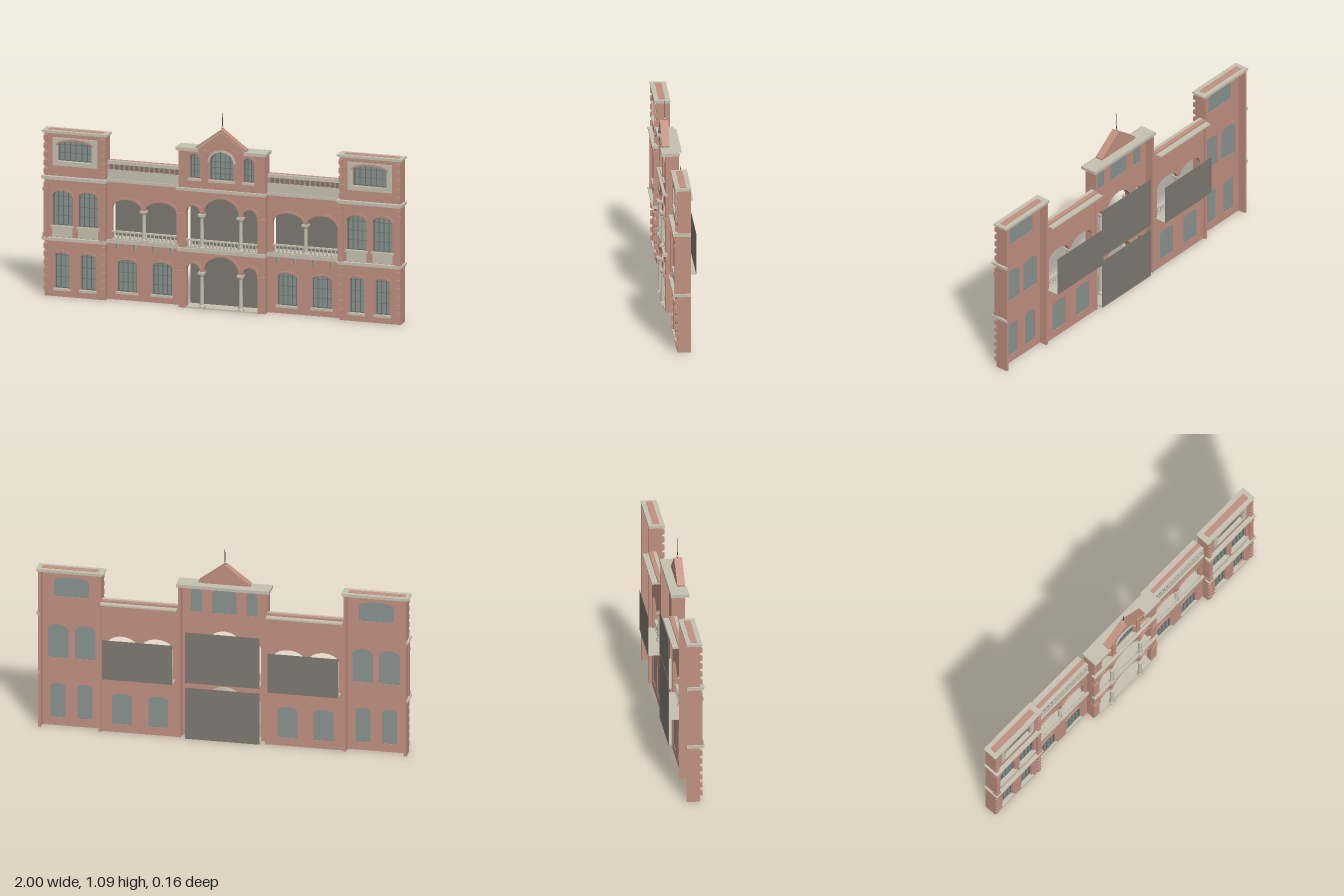
import * as THREE from 'three';

const mat = (name, color, side = THREE.FrontSide) => {
  const m = new THREE.MeshStandardMaterial({ color, side });
  m.name = name;
  return m;
};

export function createModel() {
  const root = new THREE.Group();
  root.name = 'facade';
  const brick = mat('brick', 0xc09080);
  const stone = mat('stone', 0xc6c1b0);
  const glass = mat('glass', 0x89938f);
  const bars = mat('window bars', 0x6a7573);
  const backing = mat('backing', 0x7d7870, THREE.DoubleSide);
  const metal = mat('metal', 0x4c4a47);

  const add = (name, geo, m) => {
    const mesh = new THREE.Mesh(geo, m);
    mesh.name = name;
    root.add(mesh);
    return mesh;
  };
  // Box given by its two extreme corners
  const box = (name, m, x0, x1, y0, y1, z0, z1) => {
    const mesh = add(name, new THREE.BoxGeometry(x1 - x0, y1 - y0, z1 - z0), m);
    mesh.position.set((x0 + x1) / 2, (y0 + y1) / 2, (z0 + z1) / 2);
  };
  const polygon = pts => new THREE.Shape(pts.map(p => new THREE.Vector2(...p)));
  const extrude = (name, m, shape, z0, z1) => {
    const geo = new THREE.ExtrudeGeometry(shape, { depth: z1 - z0, bevelEnabled: false, curveSegments: 14 });
    add(name, geo, m).position.z = z0;
  };
  // Opening with one or more arches, listed from right to left as [x0, x1, top]
  const opening = (p, x0, x1, y0, spring, arches) => {
    p.moveTo(x0, y0);
    p.lineTo(x1, y0);
    for (const [a, b, top] of arches) {
      p.lineTo(b, spring);
      p.absellipse((a + b) / 2, spring, (b - a) / 2, top - spring, 0, Math.PI, false, 0);
    }
    p.lineTo(x0, spring);
    p.lineTo(x0, y0);
    return p;
  };
  const wall = (name, x0, x1, h, z0, z1, holes) => {
    const s = polygon([[x0, 0], [x1, 0], [x1, h], [x0, h]]);
    s.holes = holes;
    extrude(name, brick, s, z0, z1);
  };
  // Raised band following an arch
  const archTrim = (m, x0, x1, spring, top, w, z0, z1) => {
    const c = (x0 + x1) / 2, r = (x1 - x0) / 2, h = top - spring;
    const s = new THREE.Shape();
    s.moveTo(c + r + w, spring);
    s.absellipse(c, spring, r + w, h + w, 0, Math.PI, false, 0);
    s.lineTo(c - r, spring);
    s.absellipse(c, spring, r, h, Math.PI, 0, true, 0);
    extrude('archTrim', m, s, z0, z1);
  };
  // Glazed arched window with frame, bars, hood and sill; returns the hole for the wall
  const windowUnit = (x0, x1, y0, spring, top, zBack, zFront, cols, rows, hood = brick) => {
    const arches = [[x0, x1, top]];
    const zg = zBack + 0.003, zb = zg + 0.003, c = (x0 + x1) / 2, r = (x1 - x0) / 2, f = 0.005;
    extrude('windowGlass', glass, opening(new THREE.Shape(), x0, x1, y0, spring, arches), zg, zb);
    const frame = opening(new THREE.Shape(), x0, x1, y0, spring, arches);
    frame.holes = [opening(new THREE.Path(), x0 + f, x1 - f, y0 + f, spring, [[x0 + f, x1 - f, top - f]])];
    extrude('windowFrame', bars, frame, zb, zb + 0.008);
    for (let i = 1; i < cols; i++) {
      const x = x0 + (x1 - x0) * i / cols;
      const h = (top - spring) * Math.sqrt(1 - ((x - c) / r) ** 2);
      box('windowBar', bars, x - 0.0015, x + 0.0015, y0, spring + h, zb, zb + 0.006);
    }
    for (let i = 1; i < rows; i++) {
      const y = y0 + (spring - y0) * i / (rows - 1);
      box('windowBar', bars, x0, x1, y - 0.0015, y + 0.0015, zb, zb + 0.005);
    }
    archTrim(hood, x0, x1, spring, top, 0.011, zFront, zFront + 0.007);
    box('windowSill', stone, x0 - 0.008, x1 + 0.008, y0 - 0.012, y0, zBack + 0.006, zFront + 0.01);
    return opening(new THREE.Path(), x0, x1, y0, spring, arches);
  };
  // Turned column with base and capital
  const column = (x, y0, y1, z, r) => {
    const h = y1 - y0;
    const pts = [[0, 0], [1.5, 0], [1.5, 0.05], [1.15, 0.08], [1, 0.1], [0.85, 0.88], [1.1, 0.9], [1.5, 0.95], [1.5, 1], [0, 1]];
    const geo = new THREE.LatheGeometry(pts.map(([a, b]) => new THREE.Vector2(a * r, b * h)), 14);
    add('column', geo, stone).position.set(x, y0, z);
    box('columnPlinth', stone, x - r * 1.5, x + r * 1.5, y0, y0 + 0.01, z - r * 1.5, z + r * 1.5);
    box('columnAbacus', stone, x - r * 1.6, x + r * 1.6, y1 - 0.008, y1 + 0.003, z - r * 1.6, z + r * 1.6);
  };
  const balusterGeo = new THREE.LatheGeometry([[0.003, 0], [0.006, 0.012], [0.003, 0.026], [0.005, 0.036]]
    .map(p => new THREE.Vector2(...p)), 8);
  const balustrade = (x0, x1, y, z, n) => {
    box('balustradeFoot', stone, x0, x1, y, y + 0.007, z - 0.007, z + 0.007);
    box('balustradeRail', stone, x0, x1, y + 0.04, y + 0.048, z - 0.008, z + 0.008);
    for (let i = 0; i < n; i++)
      add('baluster', balusterGeo, stone).position.set(x0 + (x1 - x0) * (i + 0.5) / n, y + 0.006, z);
  };
  // Mirror an x range to side s, keeping it ascending
  const span = (s, a, b) => s > 0 ? [a, b] : [-b, -a];

  for (const s of [-1, 1]) {
    // End wing: thin front wall with side returns running back under the roof
    const [w0, w1] = span(s, 0.65, 0.988), zr = -0.028, zb = 0.015, zf = 0.042;
    const holes = [];
    for (const [a, b] of [[0.706, 0.786], [0.85, 0.93]])
      holes.push(windowUnit(...span(s, a, b), 0.045, 0.222, 0.24, zb, zf, 3, 4));
    for (const [a, b] of [[0.69, 0.80], [0.834, 0.945]]) {
      holes.push(windowUnit(...span(s, a, b), 0.385, 0.54, 0.575, zb, zf, 4, 4));
      box('windowApron', stone, ...span(s, a, b), 0.325, 0.373, zf, zf + 0.006);
    }
    const top = span(s, 0.725, 0.912);
    holes.push(windowUnit(...top, 0.735, 0.822, 0.845, zb, zf, 6, 3));
    wall('wingWall', w0, w1, 0.885, zb, zf, holes);
    for (const x of [0.65, 0.974]) box('wingReturn', brick, ...span(s, x, x + 0.014), 0, 0.885, zr, zb);
    const [p0, p1] = span(s, 0.695, 0.942);
    const panel = polygon([[p0, 0.71], [p1, 0.71], [p1, 0.862], [p0, 0.862]]);
    panel.holes = [opening(new THREE.Path(), ...top, 0.735, 0.822, [[...top, 0.845]])];
    extrude('windowSurround', stone, panel, zf, zf + 0.006);

    for (const [y0, y1, o] of [[0.305, 0.313, 0.007], [0.313, 0.322, 0.012], [0.635, 0.643, 0.007], [0.643, 0.653, 0.012]]) {
      box('wingBand', stone, ...span(s, 0.65 - o, 0.988 + o), y0, y1, zf - 0.01, zf + o + 0.012);
      box('wingSideBand', stone, ...span(s, 0.98, 0.988 + o), y0, y1, zr, zf - 0.01);
    }
    box('wingCornice', stone, ...span(s, 0.644, 0.994), 0.883, 0.89, zr - 0.001, zf + 0.006);
    box('wingCoping', stone, ...span(s, 0.638, 1), 0.89, 0.898, zr - 0.002, zf + 0.013);
    box('wingRoof', brick, ...span(s, 0.67, 0.975), 0.89, 0.9, -0.005, 0.03);
    for (let i = 0; i < 17; i++) {
      const x = s * (0.665 + i * 0.0193);
      box('dentil', brick, x - 0.005, x + 0.005, 0.618, 0.635, zf, zf + 0.009);
    }
    // Corner blocks and pilasters
    for (const inner of [0, 1]) {
      const block = (w, o) => inner ? span(s, 0.65 - o, 0.65 + w) : span(s, 0.988 - w, 0.988 + o);
      for (let i = 0; i < 11; i++) {
        const y = i < 6 ? 0.035 + i * 0.045 : 0.665 + (i - 6) * 0.045;
        box('cornerBlock', brick, ...block(0.02, 0.001), y, y + 0.027, zf - 0.001, 0.055);
      }
      box('pilaster', brick, ...block(0.022, 0.002), 0.322, 0.618, zf - 0.01, 0.056);
      box('pilasterCapital', brick, ...block(0.026, 0.005), 0.575, 0.59, zf - 0.01, 0.06);
      box('pilasterBase', brick, ...block(0.026, 0.005), 0.322, 0.345, zf - 0.01, 0.06);
    }

    // Linking range with open gallery
    const lb = -0.013, lf = 0.006, linkHoles = [];
    for (const [a, b] of [[0.294, 0.4], [0.487, 0.594]])
      linkHoles.push(windowUnit(...span(s, a, b), 0.045, 0.2, 0.22, lb, lf, 4, 4));
    const bays = [[0.267, 0.439], [0.459, 0.625]].map(b => [...span(s, ...b), 0.545]).sort((a, b) => b[0] - a[0]);
    linkHoles.push(opening(new THREE.Path(), ...span(s, 0.267, 0.625), 0.325, 0.49, bays));
    const [l0, l1] = span(s, 0.24, 0.65);
    wall('linkWall', l0, l1, 0.735, lb, lf, linkHoles);
    for (const [a, b, t] of bays) archTrim(brick, a, b, 0.49, t, 0.012, lf, lf + 0.007);
    column(s * 0.449, 0.325, 0.49, 0.004, 0.011);
    balustrade(...span(s, 0.267, 0.625), 0.325, 0.006, 16);
    for (const x of [0.294, 0.39, 0.497, 0.594]) {
      const c = add('corbel', new THREE.CylinderGeometry(0.014, 0.004, 0.04, 4, 1, false, Math.PI / 4), stone);
      c.position.set(s * x, 0.287, lf + 0.003);
    }
    box('linkBand', stone, l0, l1, 0.306, 0.325, lf - 0.002, lf + 0.013);
    box('linkCornice', stone, l0, l1, 0.637, 0.652, lf, lf + 0.013);
    box('linkFrieze', stone, l0, l1, 0.652, 0.702, lf, lf + 0.005);
    for (let i = 0; i < 14; i++) {
      const x = s * (0.264 + i * 0.028);
      box('parapetPanel', backing, x - 0.009, x + 0.009, 0.706, 0.731, lf, lf + 0.004);
    }
    box('linkCoping', stone, l0, l1, 0.733, 0.741, -0.062, lf + 0.008);
    box('parapetRail', stone, l0, l1, 0.741, 0.75, lf - 0.012, lf + 0.006);
    box('parapetTop', brick, l0, l1, 0.741, 0.75, -0.03, lf - 0.012);
    box('galleryFloor', stone, ...span(s, 0.255, 0.635), 0.323, 0.326, -0.08, 0);
    box('galleryBacking', backing, ...span(s, 0.255, 0.635), 0.323, 0.545, -0.081, -0.079);
  }

  // Central pavilion: thin front wall with side returns
  const cb = 0.027, cf = 0.055, holes = [];
  for (const [y0, spring, rise] of [[0.007, 0.2, 0.09], [0.325, 0.513, 0.092]]) {
    const arches = [[0.118, 0.198, spring + 0.045], [-0.098, 0.098, spring + rise], [-0.198, -0.118, spring + 0.045]];
    holes.push(opening(new THREE.Path(), -0.198, 0.198, y0, spring, arches));
    for (const [a, b, t] of arches) archTrim(brick, a, b, spring, t, 0.012, cf, cf + 0.008);
    for (const s of [-1, 1]) {
      column(s * 0.108, y0, spring, 0.061, 0.011);
      box('impost', brick, ...span(s, 0.198, 0.244), spring - 0.012, spring, cf - 0.02, cf + 0.01);
    }
    box('porchFloor', stone, -0.2, 0.2, y0 - 0.007, y0 + 0.001, -0.026, cf + 0.003);
    box('porchBacking', backing, -0.2, 0.2, y0 - 0.007, spring + rise, -0.028, -0.026);
  }
  balustrade(-0.198, 0.198, 0.326, 0.05, 20);
  holes.push(windowUnit(-0.066, 0.066, 0.705, 0.80, 0.858, cb, cf, 5, 4, stone));
  for (const s of [-1, 1])
    holes.push(windowUnit(...span(s, 0.12, 0.178), 0.705, 0.81, 0.84, cb, cf, 3, 4));
  wall('pavilionWall', -0.24, 0.24, 0.87, cb, cf, holes);
  box('pavilionBand', stone, -0.245, 0.245, 0.306, 0.325, cf - 0.01, cf + 0.013);
  box('pavilionCornice', stone, -0.248, 0.248, 0.637, 0.652, cf - 0.01, cf + 0.015);
  box('rearCoping', stone, -0.25, 0.25, 0.855, 0.872, -0.02, 0.026);
  for (const s of [-1, 1]) {
    box('pavilionReturn', brick, ...span(s, 0.226, 0.24), 0, 0.86, -0.016, cb);
    box('frontCoping', stone, ...span(s, 0.128, 0.25), 0.855, 0.872, 0.026, 0.076);
    box('pavilionPilaster', brick, ...span(s, 0.084, 0.104), 0.69, 0.86, cf, cf + 0.008);
  }

  // Gable, sloping copings and spire
  extrude('gable', brick, polygon([[-0.125, 0.868], [0.125, 0.868], [0.125, 0.885], [0, 0.978], [-0.125, 0.885]]), 0.026, cf);
  for (const s of [-1, 1]) {
    const slope = (y, t) => polygon([[0, y], [0, y + t], [s * 0.138, y + t - 0.103], [s * 0.138, y - 0.103]]);
    extrude('gableCoping', brick, slope(0.972, 0.011), 0.026, 0.059);
    extrude('gableMoulding', stone, slope(0.967, 0.005), cf, 0.064);
    extrude('gableRake', brick, slope(0.973, 0.011), 0.059, 0.068);
  }
  const spire = add('spire', new THREE.CylinderGeometry(0.0008, 0.0028, 0.112, 8), metal);
  spire.position.set(0, 1.034, 0.043);
  add('spireKnob', new THREE.SphereGeometry(0.006, 10, 8), stone).position.set(0, 0.99, 0.043);
  return root;
}
